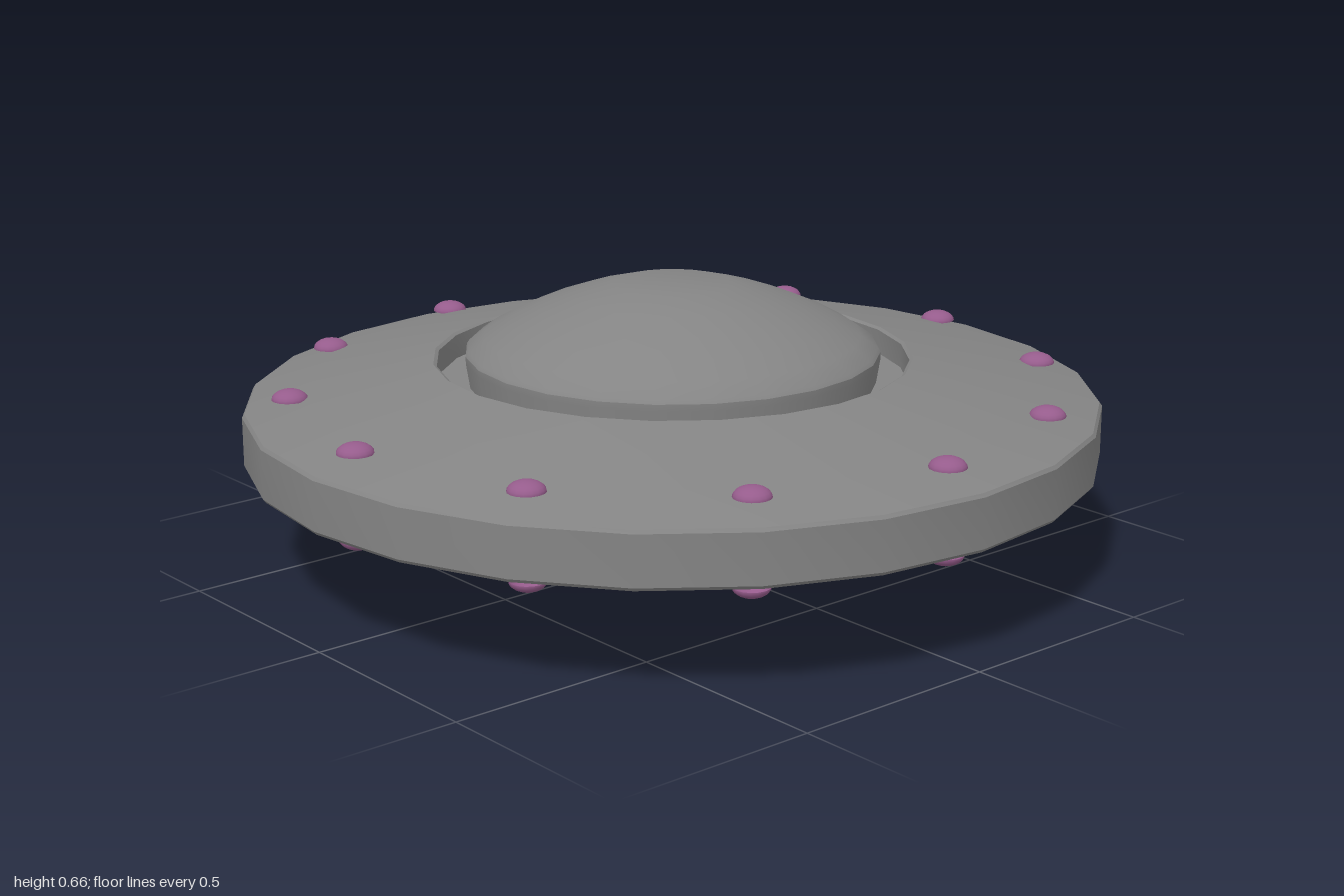
import * as THREE from 'three';
import { toCreasedNormals } from 'three/addons/utils/BufferGeometryUtils.js';

const MID = 0.356; // height of the mirror plane
const SIDES = 24;

// Upper half of a profile as [radius, height above the mirror plane], from the outside in;
// it is mirrored below to make a closed lathe.
function lathe(name, half, material) {
  const upper = half.map(([r, h]) => new THREE.Vector2(r, h));
  const lower = half.map(([r, h]) => new THREE.Vector2(r, -h)).reverse();
  const geometry = new THREE.LatheGeometry([...lower, ...upper], SIDES);
  const mesh = new THREE.Mesh(toCreasedNormals(geometry, 0.5), material);
  mesh.name = name;
  mesh.position.y = MID;
  return mesh;
}

export function createModel() {
  const model = new THREE.Group();
  model.name = 'flyingSaucer';
  const hull = new THREE.MeshStandardMaterial({ color: 0x848484 });
  const lamp = new THREE.MeshStandardMaterial({ color: 0x965c8c, side: THREE.DoubleSide });

  // Wide disc with softened rim and a sunken ring channel around the dome
  model.add(lathe('disc', [
    [1, 0.057], [0.994, 0.065], [0.85, 0.102], [0.56, 0.162], [0.552, 0.157],
    [0.552, 0.1], [0.47, 0.1], [0, 0.1],
  ], hull));

  // Domes above and below, joined through the disc
  model.add(lathe('domes', [
    [0.474, 0.09], [0.485, 0.16], [0.485, 0.176], [0.479, 0.185], [0.44, 0.213],
    [0.38, 0.246], [0.31, 0.277], [0.23, 0.306], [0.14, 0.331], [0, 0.331],
  ], hull));

  // Twelve flattened lamps on each face of the disc
  const bulb = new THREE.SphereGeometry(0.042, 16, 6, 0, Math.PI * 2, 0, Math.PI / 2);
  bulb.scale(1, 0.57, 1);
  for (const side of [1, -1]) {
    const ring = new THREE.Group();
    ring.name = side > 0 ? 'upperLamps' : 'lowerLamps';
    for (let i = 0; i < 12; i++) {
      const a = (i / 12) * Math.PI * 2;
      const mesh = new THREE.Mesh(bulb, lamp);
      mesh.name = 'lamp';
      mesh.position.set(0.89 * Math.cos(a), MID + side * 0.096, 0.89 * Math.sin(a));
      if (side < 0) mesh.rotation.x = Math.PI;
      ring.add(mesh);
    }
    model.add(ring);
  }
  return model;
}
